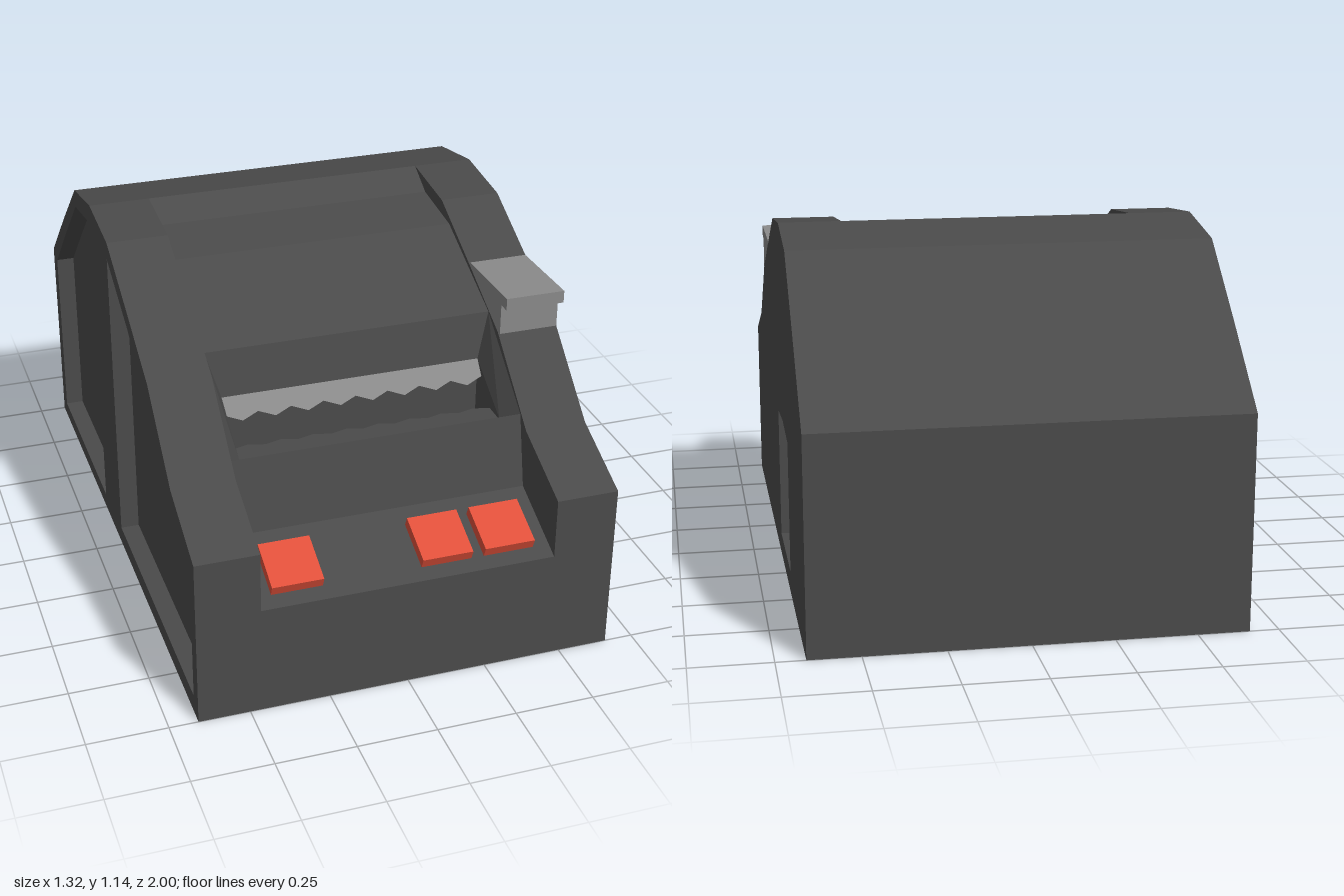
import * as THREE from 'three';
import { ConvexGeometry } from 'three/addons/geometries/ConvexGeometry.js';

const material = (color) => new THREE.MeshStandardMaterial({ color, flatShading: true, side: THREE.DoubleSide });

const toShape = (pts) => new THREE.Shape(pts.map(([a, b]) => new THREE.Vector2(a, b)));

// Extrudes a side profile of [z, y] points from x0 to x1
function profile(pts, x0, x1, holes = []) {
  const shape = toShape(pts);
  shape.holes = holes.map(toShape);
  const geo = new THREE.ExtrudeGeometry(shape, { depth: x1 - x0, bevelEnabled: false });
  return geo.rotateY(-Math.PI / 2).translate(x1, 0, 0);
}

export function createModel() {
  const group = new THREE.Group();
  const dark = material(0x4a4a4a);
  const grey = material(0x8a8a8a);
  const red = material(0xe0503a);
  const add = (name, geo, mat) => {
    const mesh = new THREE.Mesh(geo, mat);
    mesh.name = name;
    group.add(mesh);
    return mesh;
  };

  const W = 0.66, C = 0.463;
  const back = [[-0.25, 1.145], [-0.5, 1.1], [-0.75, 0.89], [-1, 0.67], [-1, 0]];
  const side = [[1, 0], [1, 0.55], [0.75, 0.655], [0.5, 0.875], [0.25, 1.0], [0, 1.12], ...back];

  // Centre section: button ledge, lip, slot and recessed cover
  add('centreBody', profile([
    [1, 0], [1, 0.355], [0.75, 0.46], [0.7, 0.69], [0.64, 0.65], [0.64, 0.5], [0.45, 0.5],
    [0.45, 0.765], [0.42, 0.91], [0.07, 1.065], [-0.15, 1.09], ...back,
  ], -C, C), dark);

  // Side walls, each a solid core with an outer panel cut by recesses
  const rightHole = [[-0.055, 0.07], [-0.055, 0.495], [-0.25, 0.51], [-0.44, 0.49], [-0.44, 0.07]];
  const rearHole = [[-0.25, 0.05], [-0.25, 1.08], [-0.5, 1.04], [-0.73, 0.84], [-0.94, 0.65], [-0.94, 0.05]];
  const frontHole = [[0.95, 0.06], [0.95, 0.49], [0.72, 0.58], [0.46, 0.81], [0.25, 0.94], [-0.01, 1.06], [-0.01, 0.06]];
  add('leftWall', profile(side, C, W - 0.04), dark);
  add('leftPanel', profile(side, W - 0.04, W, [rightHole]), dark);
  add('rightWall', profile(side, -W + 0.06, -C), dark);
  add('rightPanel', profile(side, -W, -W + 0.06, [rearHole, frontHole]), dark);

  // Sloping cheeks that narrow the slot
  for (const s of [-1, 1]) {
    const corners = [
      [C, 0.91, 0.42], [C, 0.69, 0.7], [C, 0.5, 0.42], [C, 0.5, 0.7],
      [0.42, 0.765, 0.45], [0.42, 0.65, 0.64], [0.42, 0.5, 0.45], [0.42, 0.5, 0.64],
    ];
    add('slotCheek', new ConvexGeometry(corners.map(([x, y, z]) => new THREE.Vector3(s * x, y, z))), dark);
  }

  // Serrated strip: straight edge at the origin, teeth pointing along +y
  const serrated = (length, tooth) => {
    const pts = [[-0.42, 0]];
    for (let i = 0; i <= 16; i++) pts.push([-0.42 + i * 0.0525, length - (i % 2 ? 0 : tooth)]);
    pts.push([0.42, 0]);
    return new THREE.ExtrudeGeometry(toShape(pts), { depth: 0.006, bevelEnabled: false });
  };
  const upper = add('upperBlade', serrated(0.08, 0.022), grey);
  upper.position.set(0, 0.765, 0.45);
  upper.rotation.x = Math.PI - Math.atan2(0.05, 0.06);
  const lower = add('lowerBlade', serrated(0.09, 0.015), dark);
  lower.position.set(0, 0.64, 0.64);
  lower.rotation.x = -Math.PI / 2;

  // Buttons on the sloping ledge
  for (const x of [-0.34, 0.13, 0.33]) {
    const button = add('button', new THREE.BoxGeometry(0.16, 0.035, 0.158), red);
    button.position.set(x, 0.42, 0.89);
    button.rotation.x = Math.atan2(0.105, 0.25);
  }

  // Lever on the left wall
  add('leverStem', profile([[0.505, 0.86], [0.505, 0.975], [0.25, 0.998], [0.25, 0.985]], 0.468, W), grey);
  add('leverPlate', profile([[0.545, 0.97], [0.545, 1.01], [0.24, 1.002], [0.25, 0.995], [0.49, 0.972]], 0.468, W), grey);

  return group;
}
